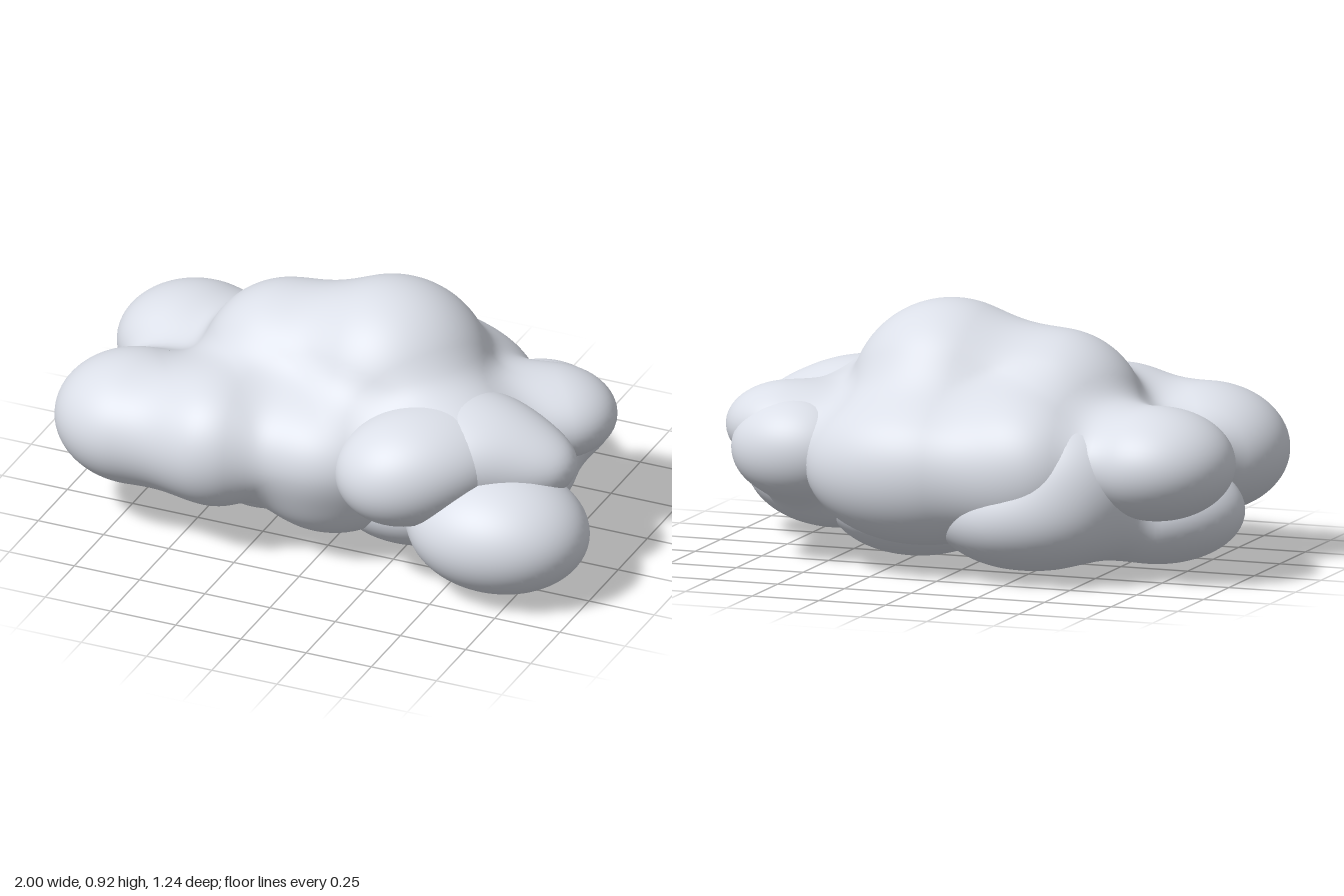
import * as THREE from 'three';

// Each puff: centre x, y, z, then radii x, y, z. Puffs within one part melt together.
const PARTS = {
  mainCloud: [
    [0, 0.38, 0, 0.62, 0.25, 0.37],
    [0.12, 0.56, -0.035, 0.36, 0.36, 0.355],
    [-0.26, 0.53, -0.02, 0.32, 0.305, 0.31],
    [-0.7, 0.39, 0.305, 0.3, 0.23, 0.28],
    [-0.37, 0.41, 0.36, 0.25, 0.245, 0.258],
    [0, 0.41, 0.3, 0.27, 0.2, 0.23],
    [0, 0.24, 0.18, 0.23, 0.17, 0.25],
    [0.45, 0.475, 0.18, 0.26, 0.185, 0.28],
    [0.12, 0.37, -0.34, 0.42, 0.27, 0.285],
    [-0.28, 0.39, -0.36, 0.26, 0.25, 0.235],
    [-0.72, 0.42, -0.23, 0.28, 0.2, 0.27],
    [0.66, 0.465, -0.19, 0.235, 0.155, 0.21],
  ],
  frontPuff: [
    [0.32, 0.43, 0.38, 0.22, 0.185, 0.208],
    [0.44, 0.47, 0.21, 0.25, 0.18, 0.27],
  ],
  leftFrontPuff: [
    [0.67, 0.24, 0.29, 0.33, 0.22, 0.27],
    [0.4, 0.28, 0.02, 0.27, 0.17, 0.28],
  ],
  leftMiddlePuff: [
    [0.65, 0.45, 0.15, 0.25, 0.15, 0.17],
    [0.48, 0.48, 0.18, 0.24, 0.175, 0.25],
  ],
  leftLowPuff: [
    [0.6, 0.4, -0.29, 0.24, 0.18, 0.185],
    [0.55, 0.23, -0.12, 0.21, 0.13, 0.14],
  ],
  rightLowPuffs: [
    [-0.64, 0.22, -0.03, 0.32, 0.19, 0.28],
    [-0.27, 0.23, -0.31, 0.34, 0.2, 0.29],
    [-0.41, 0.36, -0.34, 0.25, 0.22, 0.2],
    [-0.28, 0.23, 0.06, 0.26, 0.18, 0.3],
  ],
  bottomPuff: [[0.25, 0.205, 0, 0.33, 0.205, 0.34]],
};
const BLEND = 0.14;
const STEP = 0.022;

// Approximate signed distance to an ellipsoid
function puffDistance([cx, cy, cz, rx, ry, rz], x, y, z) {
  const a = (x - cx) / rx, b = (y - cy) / ry, c = (z - cz) / rz;
  const k0 = Math.hypot(a, b, c);
  const k1 = Math.hypot(a / rx, b / ry, c / rz);
  return k1 < 1e-6 ? -Math.min(rx, ry, rz) : k0 * (k0 - 1) / k1;
}

// Smooth union of all puffs in a part
function makeField(puffs) {
  return (x, y, z) => {
    let d = 10;
    for (const p of puffs) {
      const e = puffDistance(p, x, y, z);
      const h = Math.max(BLEND - Math.abs(d - e), 0);
      d = Math.min(d, e) - h * h / (4 * BLEND);
    }
    return d;
  };
}

// Skin a field with one vertex per boundary cell of a grid
function skin(puffs) {
  const field = makeField(puffs);
  const lo = [0, 1, 2].map(i => Math.min(...puffs.map(p => p[i] - p[i + 3])) - 0.1);
  const hi = [0, 1, 2].map(i => Math.max(...puffs.map(p => p[i] + p[i + 3])) + 0.1);
  const n = lo.map((l, i) => Math.ceil((hi[i] - l) / STEP) + 1);
  const stride = [1, n[0], n[0] * n[1]];
  const values = new Float32Array(n[0] * n[1] * n[2]);
  const eachNode = (start, end, visit) => {
    for (let k = start; k < n[2] - end; k++)
      for (let j = start; j < n[1] - end; j++)
        for (let i = start; i < n[0] - end; i++) visit(i, j, k, i + j * stride[1] + k * stride[2]);
  };
  eachNode(0, 0, (i, j, k, id) => {
    values[id] = field(lo[0] + i * STEP, lo[1] + j * STEP, lo[2] + k * STEP);
  });

  const gradient = p => {
    const e = 0.004, [x, y, z] = p;
    return new THREE.Vector3(
      field(x + e, y, z) - field(x - e, y, z),
      field(x, y + e, z) - field(x, y - e, z),
      field(x, y, z + e) - field(x, y, z - e)).normalize();
  };

  // Vertices: cell centres pulled onto the surface along the gradient
  const cell = new Int32Array(values.length).fill(-1);
  const positions = [], normals = [];
  eachNode(0, 1, (i, j, k, id) => {
    let inside = 0;
    for (let c = 0; c < 8; c++) {
      const corner = id + (c & 1) + ((c >> 1) & 1) * stride[1] + (c >> 2) * stride[2];
      if (values[corner] < 0) inside++;
    }
    if (inside === 0 || inside === 8) return;
    const p = [i, j, k].map((v, a) => lo[a] + (v + 0.5) * STEP);
    for (let s = 0; s < 4; s++) {
      const g = gradient(p), d = field(...p);
      p[0] -= g.x * d; p[1] -= g.y * d; p[2] -= g.z * d;
    }
    cell[id] = positions.length / 3;
    positions.push(...p);
    normals.push(...gradient(p).toArray());
  });

  // Faces: one quad around every grid edge that crosses the surface
  const index = [];
  eachNode(1, 1, (i, j, k, id) => {
    for (let a = 0; a < 3; a++) {
      const inA = values[id] < 0, inB = values[id + stride[a]] < 0;
      if (inA === inB) continue;
      const u = stride[(a + 1) % 3], v = stride[(a + 2) % 3];
      const [p, q, r, s] = [cell[id - u - v], cell[id - v], cell[id], cell[id - u]];
      if (inA) index.push(p, q, r, p, r, s);
      else index.push(p, r, q, p, s, r);
    }
  });

  const geometry = new THREE.BufferGeometry();
  geometry.setAttribute('position', new THREE.Float32BufferAttribute(positions, 3));
  geometry.setAttribute('normal', new THREE.Float32BufferAttribute(normals, 3));
  geometry.setIndex(index);
  return geometry;
}

export function createModel() {
  const cloud = new THREE.Group();
  cloud.name = 'cloud';
  const cloudGrey = new THREE.MeshStandardMaterial({ color: 0xdde1ea });
  cloudGrey.name = 'cloud grey';
  for (const [name, puffs] of Object.entries(PARTS)) {
    const mesh = new THREE.Mesh(skin(puffs), cloudGrey);
    mesh.name = name;
    cloud.add(mesh);
  }
  return cloud;
}
